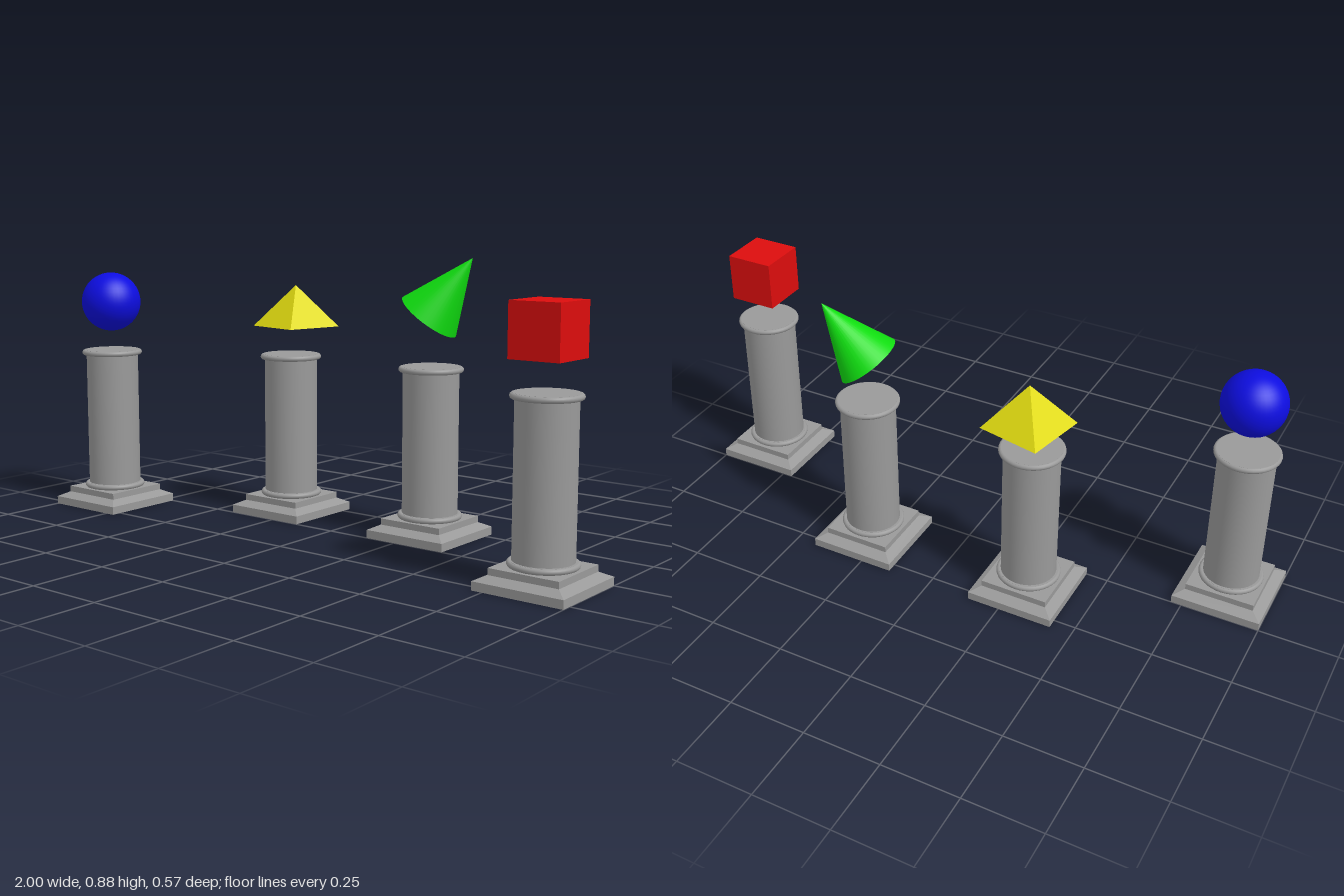
import * as THREE from 'three';

const material = (name, color) => {
  const m = new THREE.MeshStandardMaterial({ color });
  m.name = name;
  return m;
};

// Square frustum or pyramid with flat faces; half widths at bottom and top
function squareBlock(bottom, top, height) {
  const g = new THREE.CylinderGeometry(top * Math.SQRT2, bottom * Math.SQRT2, height, 4, 1, false, Math.PI / 4).toNonIndexed();
  g.computeVertexNormals();
  return g;
}

export function createModel() {
  const stone = material('stone grey', 0x999999);
  const blue = material('blue', 0x0d0de0);
  const yellow = material('yellow', 0xe2dc10);
  const green = material('green', 0x0fdc0f);
  const red = material('red', 0xdc0d0d);

  const model = new THREE.Group();
  model.name = 'pedestalsWithSolids';

  function add(parent, name, geometry, mat, x, y, z) {
    const mesh = new THREE.Mesh(geometry, mat);
    mesh.name = name;
    mesh.position.set(x, y, z);
    parent.add(mesh);
    return mesh;
  }

  // Shared pillar geometry
  const plinth = squareBlock(0.142, 0.142, 0.026);
  const bevel = squareBlock(0.142, 0.11, 0.016);
  const step = squareBlock(0.11, 0.11, 0.02);
  const shaft = new THREE.CylinderGeometry(0.088, 0.088, 0.47, 40);
  const ring = new THREE.TorusGeometry(0.093, 0.009, 12, 40).rotateX(Math.PI / 2);
  const cap = new THREE.CylinderGeometry(0.094, 0.094, 0.018, 40);

  // Four identical pillars, the outer pair set forward
  const spots = [[-0.858, 0.142], [-0.286, -0.142], [0.286, -0.142], [0.858, 0.142]];
  for (const [x, z] of spots) {
    const pillar = new THREE.Group();
    pillar.name = 'pillar';
    pillar.position.set(x, 0, z);
    add(pillar, 'plinth', plinth, stone, 0, 0.013, 0);
    add(pillar, 'plinthBevel', bevel, stone, 0, 0.034, 0);
    add(pillar, 'plinthStep', step, stone, 0, 0.052, 0);
    add(pillar, 'shaft', shaft, stone, 0, 0.295, 0);
    add(pillar, 'lowerRing', ring, stone, 0, 0.07, 0);
    add(pillar, 'lowerRingDisc', cap, stone, 0, 0.07, 0);
    add(pillar, 'upperRing', ring, stone, 0, 0.533, 0);
    add(pillar, 'cap', cap, stone, 0, 0.533, 0);
    model.add(pillar);
  }

  // Floating solids
  add(model, 'sphere', new THREE.SphereGeometry(0.1, 40, 24), blue, -0.857, 0.707, 0.142);
  add(model, 'cube', new THREE.BoxGeometry(0.158, 0.158, 0.158), red, 0.858, 0.712, 0.142);

  const pyramid = add(model, 'pyramid', squareBlock(0.102, 0, 0.138), yellow, -0.283, 0.702, -0.166);
  pyramid.rotation.y = THREE.MathUtils.degToRad(33 - 45);

  // Cone tilted so that its axis runs from the base centre to the tip
  const base = new THREE.Vector3(0.265, 0.694, -0.159);
  const tip = new THREE.Vector3(0.398, 0.878, -0.197);
  const axis = tip.clone().sub(base);
  const middle = base.clone().add(tip).multiplyScalar(0.5);
  const cone = add(model, 'cone', new THREE.ConeGeometry(0.103, axis.length(), 40), green, middle.x, middle.y, middle.z);
  cone.quaternion.setFromUnitVectors(new THREE.Vector3(0, 1, 0), axis.normalize());

  return model;
}
